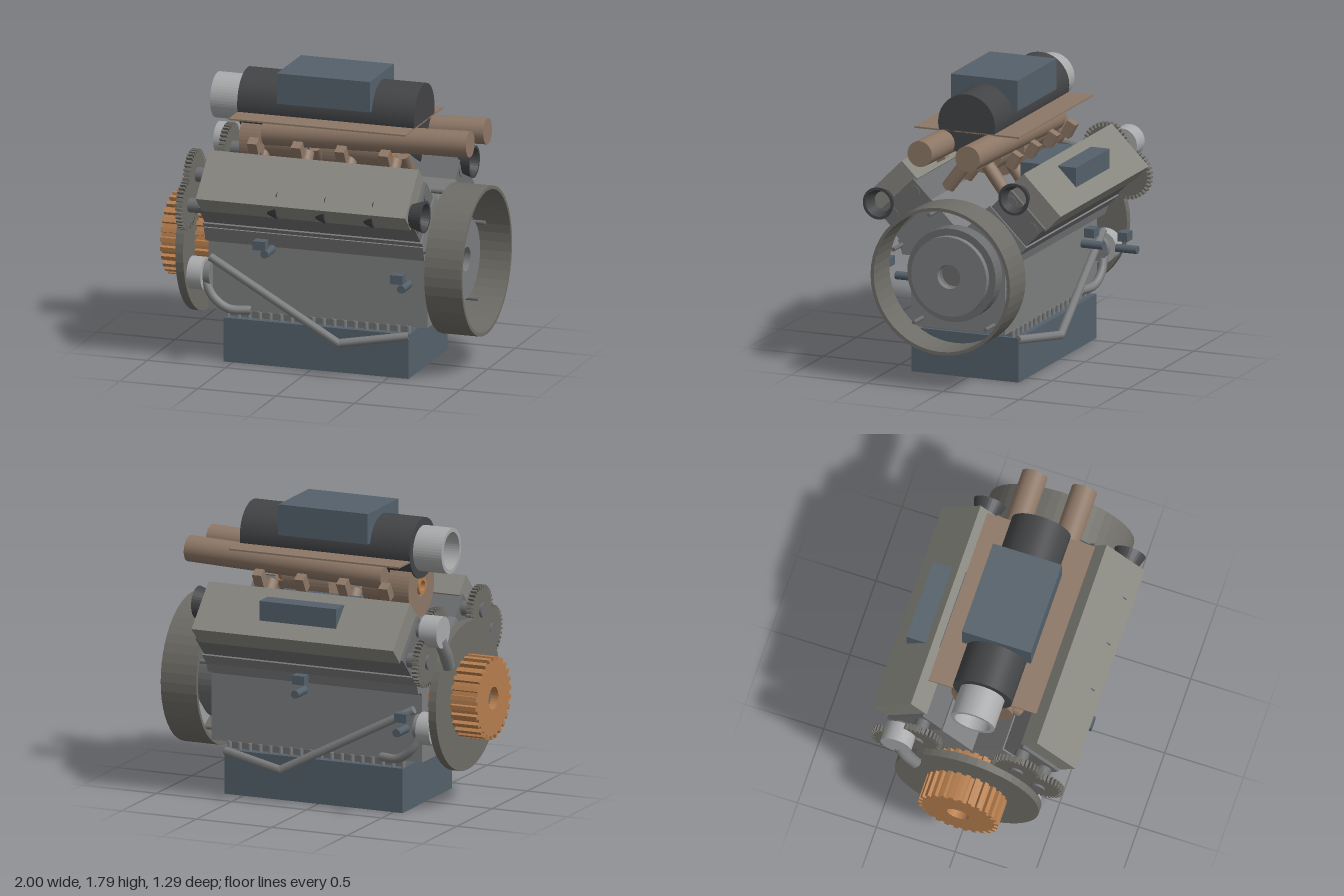
import * as THREE from 'three';

const COLORS = {
  block: 0x7c7d7e, cover: 0x87867f, head: 0x6c6d6e, wheel: 0x6e6c66, pan: 0x55616b,
  dark: 0x434446, brown: 0x8d7766, copper: 0xb67e4e, light: 0xa9aaab,
};
const mats = {};
for (const k in COLORS) {
  mats[k] = new THREE.MeshStandardMaterial({ color: COLORS[k], side: THREE.DoubleSide });
}
const Z0 = 0.018; // crank line
const CRANK_Y = 0.68;

export function createModel() {
  const root = new THREE.Group();
  root.name = 'engine';

  const add = (name, geo, mat, x = 0, y = 0, z = 0, parent = root) => {
    const m = new THREE.Mesh(geo, mats[mat]);
    m.name = name;
    m.position.set(x, y, z);
    parent.add(m);
    return m;
  };
  // box from its limits
  const box = (name, mat, x0, x1, y0, y1, z0, z1, parent = root) =>
    add(name, new THREE.BoxGeometry(x1 - x0, y1 - y0, z1 - z0), mat,
      (x0 + x1) / 2, (y0 + y1) / 2, (z0 + z1) / 2, parent);
  // cylinder between two points
  const rod = (name, mat, a, b, r, seg = 20) => {
    const p = new THREE.Vector3(...a), q = new THREE.Vector3(...b);
    const d = q.clone().sub(p);
    const m = add(name, new THREE.CylinderGeometry(r, r, d.length(), seg), mat);
    m.position.copy(p).add(q).multiplyScalar(0.5);
    m.quaternion.setFromUnitVectors(new THREE.Vector3(0, 1, 0), d.normalize());
    return m;
  };
  // lathe round the x axis, profile given as [radius, x]
  const latheX = (name, mat, profile, y, z, seg = 48) => {
    const g = new THREE.LatheGeometry(profile.map(p => new THREE.Vector2(p[0], p[1])), seg);
    g.rotateZ(-Math.PI / 2);
    const flat = g.toNonIndexed();
    flat.computeVertexNormals();
    return add(name, flat, mat, 0, y, z);
  };
  // hollow or pierced cylinder along x
  const ring = (name, mat, x0, x1, r, hole, y, z) =>
    latheX(name, mat, [[hole, x0], [r, x0], [r, x1], [hole, x1], [hole, x0]], y, z);
  // toothed wheel along x
  const gear = (name, mat, x0, x1, r, tooth, n, hole, y, z) => {
    const s = new THREE.Shape();
    for (let i = 0; i < n; i++) {
      [[0, r - tooth], [0.45, r - tooth], [0.5, r], [0.95, r]].forEach(([f, rad], j) => {
        const a = (i + f) / n * Math.PI * 2;
        s[i + j ? 'lineTo' : 'moveTo'](Math.cos(a) * rad, Math.sin(a) * rad);
      });
    }
    s.closePath();
    const h = new THREE.Path();
    h.absarc(0, 0, hole, 0, Math.PI * 2, true);
    s.holes.push(h);
    const g = new THREE.ExtrudeGeometry(s, { depth: x1 - x0, bevelEnabled: false });
    g.rotateY(Math.PI / 2);
    return add(name, g, mat, x0, y, z);
  };

  // oil pan, gasket and its bolts
  box('oilPan', 'pan', -0.56, 0.625, 0, 0.275, -0.335, 0.37);
  box('panGasket', 'head', -0.54, 0.6, 0.27, 0.32, -0.28, 0.315);
  for (let i = 0; i < 18; i++) {
    for (const s of [-1, 1]) {
      const x = -0.545 + i * 0.068;
      rod('panBolt', 'block', [x, 0.27, Z0 + s * 0.31], [x, 0.32, Z0 + s * 0.31], 0.014, 8);
    }
  }

  // crankcase, extruded along x
  const half = [[0.31, 0.315], [0.31, 0.75], [0.365, 0.75], [0.395, 0.84], [0.16, 0.9]];
  const outline = [...half, ...half.map(([z, y]) => [-z, y]).reverse()];
  const caseShape = new THREE.Shape(outline.map(([z, y]) => new THREE.Vector2(-z, y)));
  const caseGeo = new THREE.ExtrudeGeometry(caseShape, { depth: 1.4, bevelEnabled: false });
  caseGeo.rotateY(Math.PI / 2);
  add('crankcase', caseGeo, 'block', -0.67, 0, Z0);

  // two cylinder banks at 45 degrees with heads, covers and camshafts
  for (const s of [1, -1]) {
    const bank = new THREE.Group();
    bank.name = s > 0 ? 'frontBank' : 'rearBank';
    bank.position.y = CRANK_Y;
    bank.rotation.x = s * Math.PI / 4;
    root.add(bank);
    box('cylinderBank', 'block', -0.67, 0.73, 0.05, 0.44, -0.17, 0.17, bank);
    box('cylinderHead', 'head', -0.66, 0.72, 0.43, 0.61, -0.16, 0.16, bank);
    box('valveCover', 'cover', -0.64, 0.7, 0.595, 0.738, -0.172, 0.172, bank);

    for (const [y, z] of [[1.14, 0.317], [0.985, 0.455]]) {
      rod('camshaft', 'head', [-0.8, y, s * z], [0.725, y, s * z], 0.045);
      gear('camGear', 'wheel', -0.785, -0.745, 0.155, 0.025, 34, 0.044, y, s * z);
    }
  }

  // open-ended exhaust horns, one nested behind another
  for (const [y, z] of [[1.066, 0.52], [1.18, -0.37]]) {
    for (let i = 0; i < 4; i++) {
      const x = -0.14 + i * 0.308;
      latheX('exhaustHorn', 'dark',
        [[0.02, x - 0.29], [0.06, x - 0.12], [0.1, x], [0.083, x], [0.045, x - 0.12], [0, x - 0.22]], y, z, 32);
    }
  }

  // flywheel housing, stepped flywheel and studs
  ring('flywheelHousing', 'wheel', 0.762, 1, 0.458, 0.437, CRANK_Y, Z0);
  ring('flywheel', 'head', 0.73, 0.83, 0.29, 0.075, CRANK_Y, Z0);
  ring('flywheelFace', 'block', 0.82, 0.87, 0.247, 0.075, CRANK_Y, Z0);
  rod('crankshaft', 'head', [-0.95, CRANK_Y, Z0], [0.8, CRANK_Y, Z0], 0.074);
  for (const s of [-1, 1]) {
    rod('sideRod', 'head', [-0.43, 0.81, Z0 + s * 0.37], [0.86, 0.81, Z0 + s * 0.37], 0.013, 10);
    for (const [y, z] of [[1.047, 0.135], [0.37, 0.235]]) {
      rod('housingStud', 'head', [0.6, y, Z0 + s * z], [0.86, y, Z0 + s * z], 0.013, 10);
    }
  }

  // timing disc and ribbed crank pulley
  ring('timingDisc', 'wheel', -0.83, -0.78, 0.458, 0.07, CRANK_Y, Z0);
  gear('crankPulley', 'copper', -1, -0.68, 0.255, 0.026, 26, 0.07, CRANK_Y, Z0);

  // pumps with curved hoses, and the long bent pipes
  const tube = (name, mat, pts, r) => add(name, new THREE.TubeGeometry(
    new THREE.CatmullRomCurve3(pts.map(p => new THREE.Vector3(...p))), 24, r, 12), mat);
  for (const s of [-1, 1]) {
    const z = d => Z0 + s * d;
    rod('pump', 'light', [-0.77, 0.535, z(0.33)], [-0.68, 0.535, z(0.33)], 0.1, 28);
    rod('pumpNeck', 'block', [-0.7, 0.535, z(0.31)], [-0.64, 0.535, z(0.31)], 0.08);
    tube('pumpHose', 'block', [[-0.68, 0.5, z(0.35)], [-0.62, 0.4, z(0.36)],
      [-0.53, 0.335, z(0.35)], [-0.4, 0.325, z(0.31)]], 0.027);
    const a = [-0.64, 0.65, z(0.36)], b = [0.21, 0.21, z(0.45)], c = [0.62, 0.265, z(0.345)];
    rod('bentPipe', 'block', a, b, 0.026, 8);
    rod('bentPipe', 'block', b, c, 0.026, 8);
    add('pipeElbow', new THREE.SphereGeometry(0.026, 10, 8), 'block', ...b);
  }

  // alternator on the rear bank, with its bracket
  rod('alternator', 'light', [-0.87, 1.17, -0.42], [-0.75, 1.17, -0.42], 0.098, 32);
  tube('alternatorArm', 'block', [[-0.84, 1.12, -0.41], [-0.855, 1.03, -0.36], [-0.85, 0.93, -0.3]], 0.04);

  // small sensors: a block with a short plug below
  const sensors = [
    [-0.242, 0.818, 0.595, 0.74, 0.39, 0.53], [0.613, 0.668, 0.532, 0.585, 0.335, 0.475],
    [0.02, 0.818, -0.553, 0.74, -0.63, -0.49], [-0.63, 0.635, -0.49, 0.555, -0.575, -0.435],
  ];
  for (const [x, y, z, py, za, zb] of sensors) {
    box('sensorBlock', 'pan', x - 0.04, x + 0.04, y - 0.028, y + 0.028, z - 0.032, z + 0.032);
    rod('sensorPlug', 'pan', [x, py, za], [x, py, zb], 0.026, 10);
  }

  // control box on the rear cover
  box('controlBox', 'pan', -0.225, 0.285, 1.15, 1.28, -0.565, -0.2);

  // air intake drum, mouth, top box and heat shield
  rod('intakeDrum', 'dark', [-0.53, 1.565, Z0], [0.6, 1.565, Z0], 0.187, 40);
  ring('intakeMouth', 'light', -0.72, -0.5, 0.14, 0.115, 1.565, Z0);
  box('intakeBox', 'pan', -0.265, 0.33, 1.605, 1.795, -0.2, 0.238);
  box('heatShield', 'brown', -0.53, 0.6, 1.51, 1.52, -0.325, 0.36);

  // blowers in the valley on a common shaft
  for (const x of [-0.45, 0.08]) {
    ring('blower', 'brown', x - 0.07, x + 0.07, 0.185, 0.06, 1.325, Z0);
    ring('blowerCore', 'brown', x + 0.07, x + 0.27, 0.12, 0.05, 1.325, Z0);
  }
  rod('blowerShaft', 'brown', [-0.5, 1.33, Z0], [0.4, 1.33, Z0], 0.03, 16);
  for (const x of [-0.53, 0.36]) ring('shaftCollar', 'copper', x, x + 0.05, 0.055, 0.033, 1.33, Z0);

  // outlet pipes, runners to the heads and connecting stubs
  for (const s of [-1, 1]) {
    const z = d => Z0 + s * d;
    rod('outletPipe', 'brown', [-0.36, 1.405, z(0.157)], [0.95, 1.447, z(0.157)], 0.08, 28);
    for (const x of [-0.4, -0.12, 0.16, 0.44]) {
      rod('runner', 'brown', [x, 1.28, z(0.07)], [x, 1.08, z(0.22)], 0.042, 14);
      const stub = box('pipeStub', 'brown', -0.03, 0.03, -0.05, 0.05, -0.03, 0.03);
      stub.position.set(x, 1.33, z(0.245));
      stub.rotation.x = s * 0.5;
    }
  }
  return root;
}
